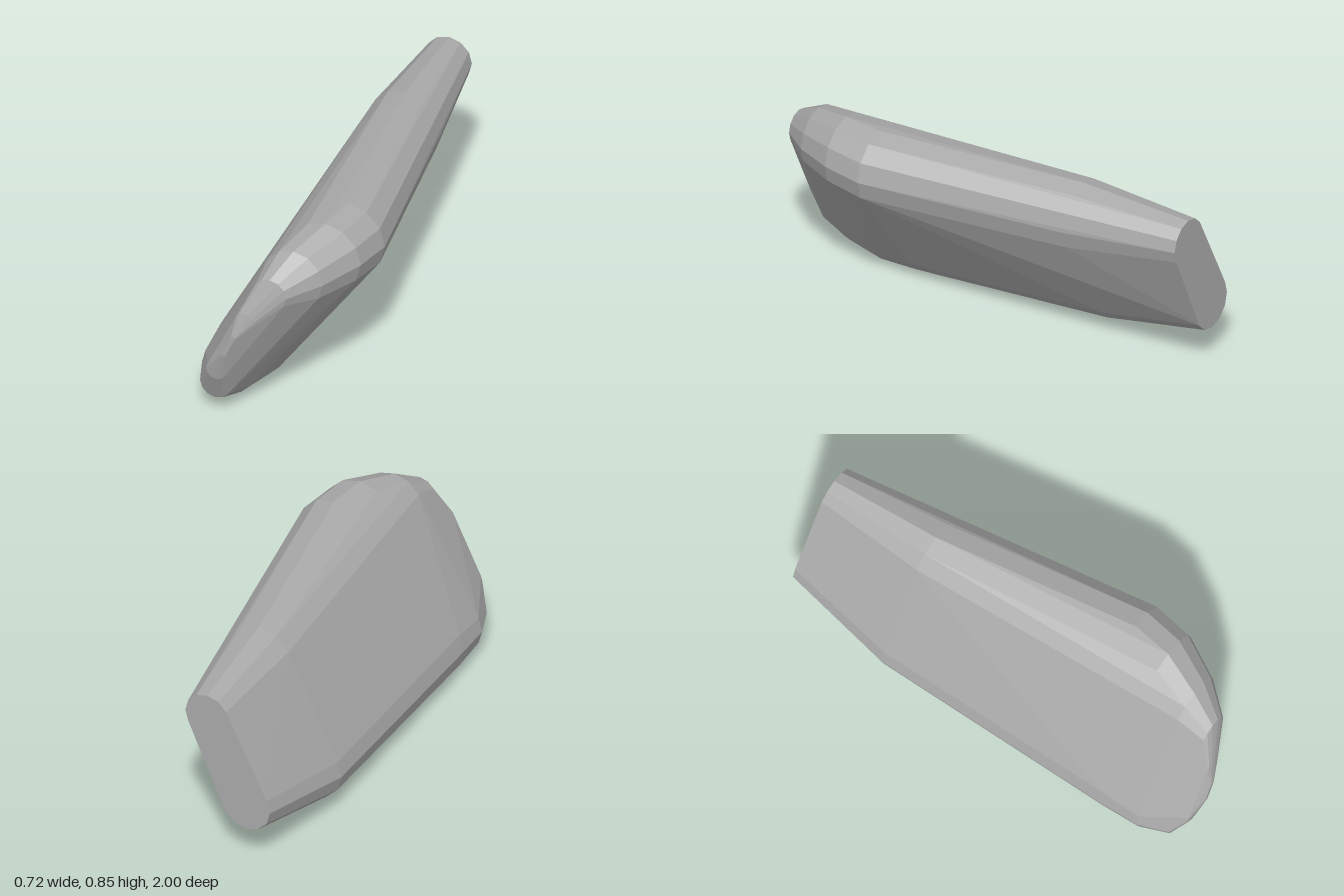
import * as THREE from 'three';
import { ConvexGeometry } from 'three/addons/geometries/ConvexGeometry.js';

// Each cross-section is a leaning oval: a lower and an upper circle [x, y, radius]
const sections = [
  { z: 1, lower: [-0.12, 0.36, 0.01], upper: [-0.08, 0.45, 0.01] },
  { z: 0.97, lower: [-0.17, 0.25, 0.045], upper: [-0.04, 0.53, 0.04] },
  { z: 0.91, lower: [-0.2, 0.14, 0.07], upper: [0.05, 0.65, 0.075] },
  { z: 0.78, lower: [-0.2, 0.14, 0.12], upper: [0.1, 0.67, 0.135] },
  { z: 0.6, lower: [-0.18, 0.153, 0.153], upper: [0.165, 0.69, 0.163] },
  { z: 0.42, lower: [-0.18, 0.16, 0.155], upper: [0.187, 0.683, 0.17] },
  { z: -0.5, lower: [-0.22, 0.19, 0.14], upper: [0.035, 0.66, 0.163] },
  { z: -1, lower: [-0.18, 0.285, 0.115], upper: [0.005, 0.68, 0.105] },
];

const SIDES = 12;

// Evenly spaced points around one circle
function circlePoints([x, y, radius], z) {
  return Array.from({ length: SIDES }, (_, i) => {
    const angle = (i / SIDES) * Math.PI * 2;
    return new THREE.Vector3(x + radius * Math.cos(angle), y + radius * Math.sin(angle), z);
  });
}

export function createModel() {
  const group = new THREE.Group();
  group.name = 'facetedPod';
  const grey = new THREE.MeshStandardMaterial({ color: 0xaaaaaa });
  grey.name = 'grey';

  // One faceted convex skin stretched over all the circles
  const points = sections.flatMap(({ z, lower, upper }) => [...circlePoints(lower, z), ...circlePoints(upper, z)]);
  const body = new THREE.Mesh(new ConvexGeometry(points), grey);
  body.name = 'body';
  group.add(body);
  return group;
}
